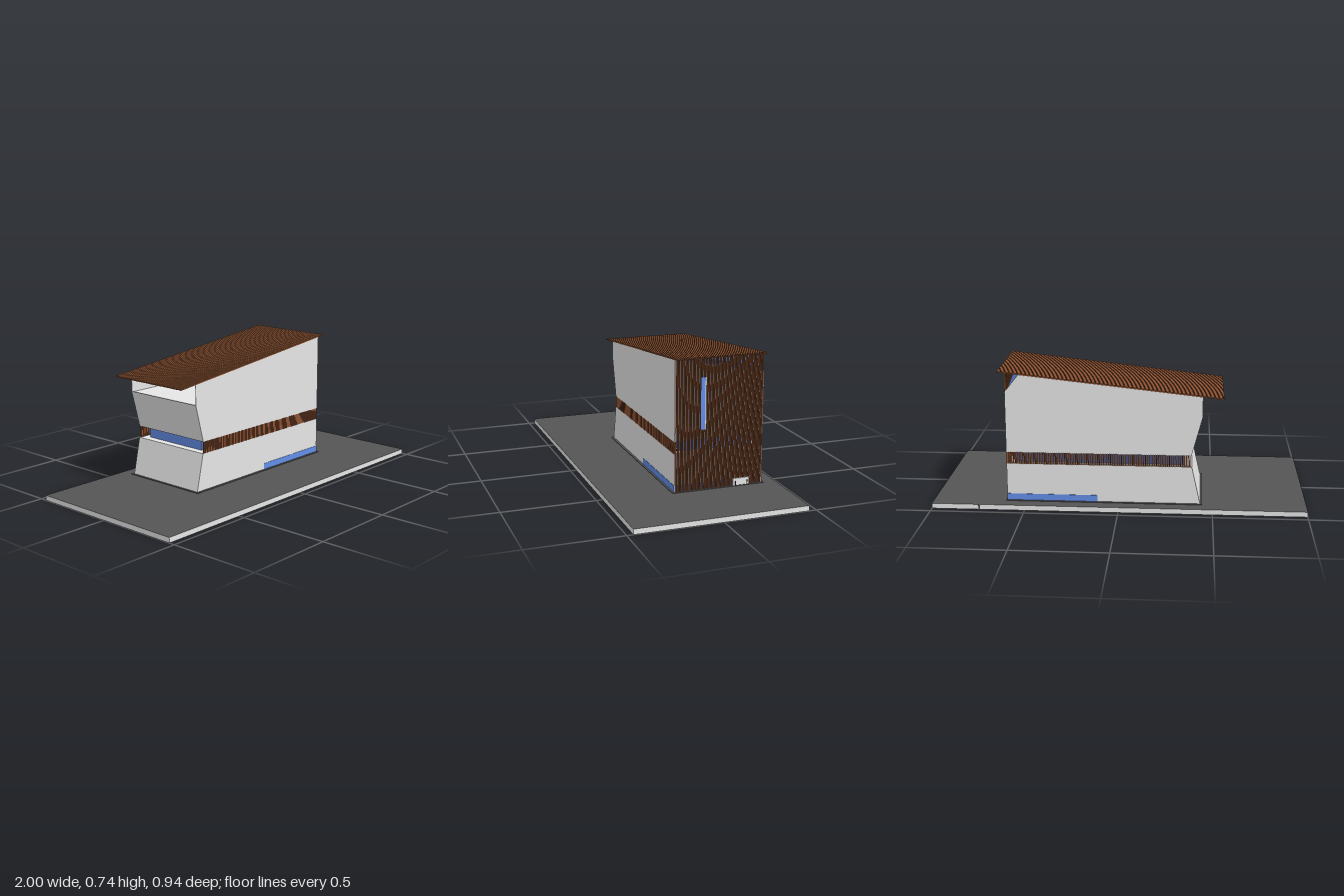
import * as THREE from 'three';
import { mergeGeometries } from 'three/addons/utils/BufferGeometryUtils.js';

const paint = (name, color, side = THREE.FrontSide) => {
  const m = new THREE.MeshStandardMaterial({ color, side });
  m.name = name;
  return m;
};

export function createModel() {
  const concrete = paint('light concrete', 0xe6e6e6, THREE.DoubleSide);
  const paving = paint('dark paving', 0x555555);
  const timber = paint('brown timber', 0x8b5232);
  const glass = paint('blue glass', 0x6793f0, THREE.DoubleSide);
  const dark = paint('dark figures', 0x2b2623);

  const model = new THREE.Group();
  model.name = 'slattedBuilding';
  const add = (name, geo, mat) => {
    const mesh = new THREE.Mesh(geo, mat);
    mesh.name = name;
    model.add(mesh);
    return mesh;
  };
  const boxGeo = (x0, x1, y0, y1, z0, z1) =>
    new THREE.BoxGeometry(x1 - x0, y1 - y0, z1 - z0)
      .translate((x0 + x1) / 2, (y0 + y1) / 2, (z0 + z1) / 2);
  const box = (name, mat, ...b) => add(name, boxGeo(...b), mat);
  // flat three- or four-cornered panel
  const panel = (name, mat, pts) => {
    const g = new THREE.BufferGeometry();
    g.setAttribute('position', new THREE.Float32BufferAttribute(pts.flat(), 3));
    g.setIndex(pts.length === 4 ? [0, 1, 2, 0, 2, 3] : [0, 1, 2]);
    g.computeVertexNormals();
    return add(name, g, mat);
  };
  const T = 0.003;                          // long wall thickness
  const wall = (name, pts, z0) => {
    const s = new THREE.Shape(pts.map(p => new THREE.Vector2(...p)));
    const g = new THREE.ExtrudeGeometry(s, { depth: T, bevelEnabled: false });
    return add(name, g.translate(0, 0, z0), concrete);
  };

  const G = 0.028, B0 = 0.235, B1 = 0.3;    // ground, band bottom, band top
  const F = 0.11, K = -0.382;               // front and back faces
  const R = 0.593, E = 0.603;               // right wall plane, outer edge of its screen
  const roofY = x => 0.615 + 0.1076 * (x + 0.55);
  const under = x => roofY(x) - 0.008;

  // Site slab: paved top, pale edges and underside
  add('siteSlab', boxGeo(-1, 1, 0, G, -0.462, 0.467),
    [concrete, concrete, paving, concrete, concrete, concrete]);
  box('plinth', paving, -0.445, 0.609, G, 0.031, -0.393, 0.123);

  // Long walls, split by the open band; the back one has a cut top corner
  const lower = [[-0.435, G], [E, G], [E, B0], [-0.388, B0]];
  const left = [[-0.44, under(-0.44)], [-0.44, 0.51], [-0.385, B1], [E, B1]];
  wall('frontWallLower', lower, F - T);
  wall('backWallLower', lower, K);
  wall('frontWallUpper', [...left, [E, under(E)]], F - T);
  wall('backWallUpper', [...left, [E, 0.63], [0.53, under(0.53)]], K);

  // Leaning left end walls
  panel('leftWallLower', concrete,
    [[-0.435, G, K], [-0.435, G, F], [-0.388, B0, F], [-0.388, B0, K]]);
  panel('leftWallUpper', concrete,
    [[-0.385, B1, K], [-0.385, B1, F], [-0.44, 0.51, F], [-0.44, 0.51, K]]);

  // Right end wall with the tilted corner glazing above it
  panel('rightWallLower', concrete, [[R, 0.066, F], [R, 0.066, K], [R, B0, K], [R, B0, F]]);
  panel('rightWallUpper', concrete, [[R, B1, F], [R, B1, K], [R, 0.63, K], [R, under(R), F]]);
  panel('cornerGlazing', glass, [[R, under(R), F], [R, 0.63, K], [0.53, under(0.53), K]]);
  panel('rightGroundGlazing', glass, [[R, G, F], [R, G, K], [R, 0.066, K], [R, 0.066, F]]);

  // Floors of the open band, recessed glass box, upper terrace
  box('bandFloor', concrete, -0.388, R, B0 - 0.006, B0, K + T, F - T);
  box('bandCeiling', concrete, -0.385, R, B1, B1 + 0.006, K + T, F - T);
  box('bandGlazing', glass, -0.345, 0.56, B0, B1, -0.34, 0.06);
  box('terraceFloor', concrete, -0.435, -0.06, 0.5, 0.506, K + T, F - T);
  panel('terraceGlazing', glass, [[-0.06, 0.506, K + T], [-0.06, 0.506, F - T],
    [-0.06, under(-0.06), F - T], [-0.06, under(-0.06), K + T]]);
  panel('roofDeck', concrete, [[-0.06, under(-0.06), F], [R, under(R), F],
    [0.53, under(0.53), K], [-0.06, under(-0.06), K]]);

  // Ground-level strip windows on both long sides
  box('frontStripWindow', glass, 0.115, E, 0.031, 0.066, F, F + 0.002);
  box('backStripWindow', glass, 0.115, E, 0.031, 0.066, K - 0.002, K);

  // Roof slats along the slope; upright slats on the right, parted at the tall window
  const N = 51, roof = [], screen = [];
  const length = Math.hypot(1.19, 0.128), tilt = Math.atan2(0.128, 1.19);
  for (let i = 0; i < N; i++) {
    const t = i / (N - 1), z = -0.3765 + t * 0.481;
    roof.push(new THREE.BoxGeometry(length, 0.007, 0.007)
      .rotateZ(tilt).translate(0.045, roofY(0.045) - 0.0035, -0.381 + t * 0.49));
    const spans = z > -0.061 && z < -0.033
      ? [[0.03, 0.35], [0.63, under(0.6)]] : [[0.03, under(0.6)]];
    for (const [y0, y1] of spans)
      screen.push(boxGeo(R + 0.001, E, y0, y1, z - 0.0025, z + 0.0025));
  }
  add('roofSlats', mergeGeometries(roof), timber);
  add('rightScreenSlats', mergeGeometries(screen), timber);

  // Short slats filling the band on both long sides
  const band = [];
  for (let i = 0; i < 100; i++) {
    const x = -0.38 + i * 0.0098;
    for (const z of [K, F - 0.007]) band.push(boxGeo(x, x + 0.007, B0, B1, z, z + 0.007));
  }
  add('bandSlats', mergeGeometries(band), timber);

  // Tall window recessed in the screen, entrance box set through it
  box('tallWindow', glass, R, R + 0.002, 0.35, 0.63, -0.06, -0.034);
  box('entrance', concrete, R, E + 0.003, 0.031, 0.069, -0.308, -0.217);

  // Scale figures
  const figure = mergeGeometries([
    new THREE.CylinderGeometry(0.003, 0.002, 0.021, 6).translate(0, 0.0105, 0),
    new THREE.SphereGeometry(0.0025, 6, 5).translate(0, 0.0235, 0),
  ]);
  for (const p of [[0.61, 0.031, -0.231], [0.61, 0.031, -0.295],
    [0.58, B0, 0.09], [0.745, 0.004, -0.465]])
    add('person', figure, dark).position.set(...p);

  return model;
}
